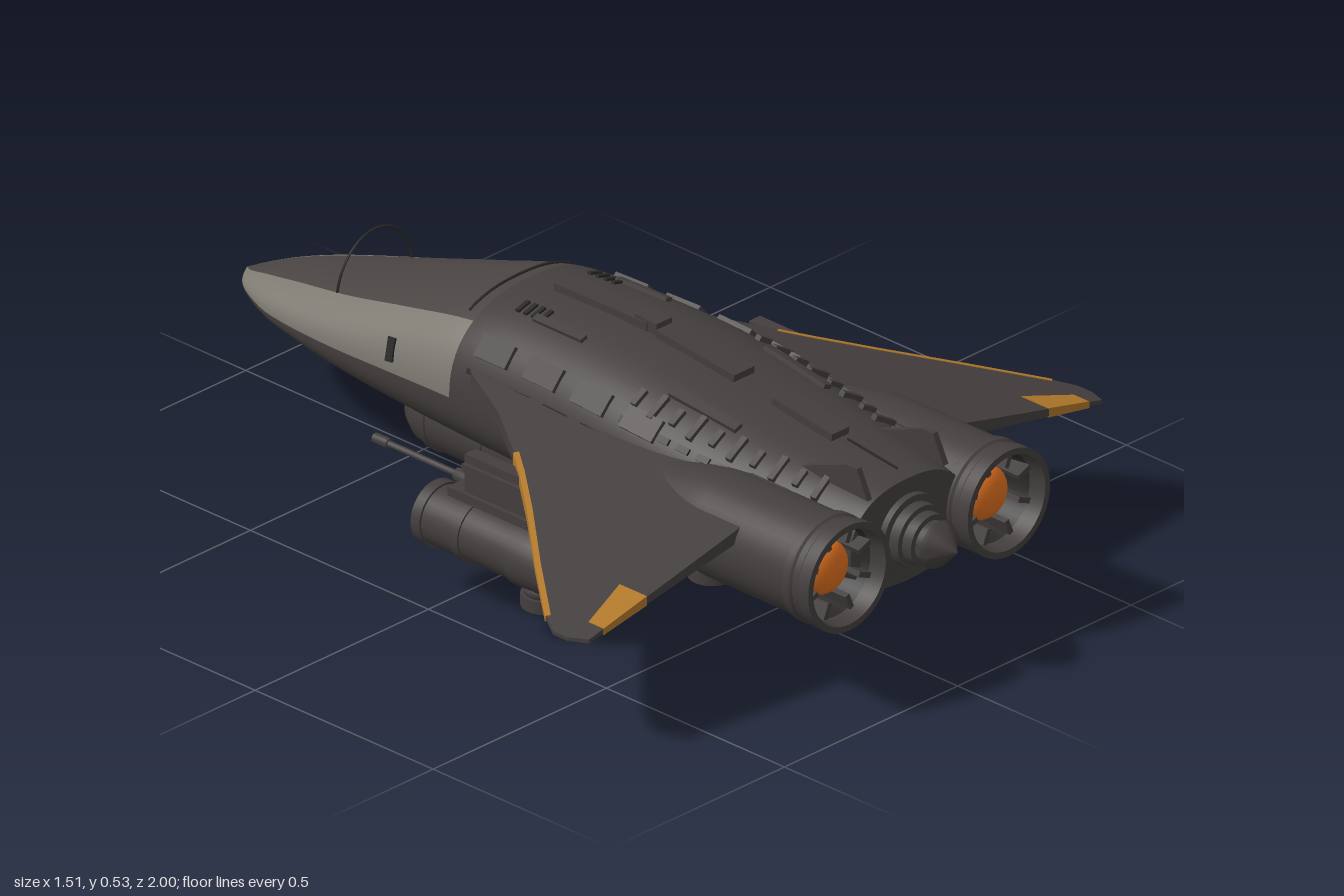
import * as THREE from 'three';
import { toCreasedNormals } from 'three/addons/utils/BufferGeometryUtils.js';

const mat = (name, color, side = THREE.FrontSide) => {
  const m = new THREE.MeshStandardMaterial({ color, side });
  m.name = name;
  return m;
};
const hull = mat('charcoal hull', 0x443f3e);
const canopy = mat('canopy brown', 0x4a4443);
const grey = mat('light grey', 0x7d7a72);
const dark = mat('dark trim', 0x2b2928);
const gold = mat('gold', 0xb0782a);
const orange = mat('engine orange', 0xe0701f);

function add(parent, name, geo, material, x = 0, y = 0, z = 0) {
  const m = new THREE.Mesh(geo, material);
  m.name = name;
  m.position.set(x, y, z);
  parent.add(m);
  return m;
}
const box = (w, h, d) => new THREE.BoxGeometry(w, h, d);
// solid of revolution along z, from [z, radius] pairs in rising z
const spin = (pts, seg = 32) => toCreasedNormals(
  new THREE.LatheGeometry(pts.map(([z, r]) => new THREE.Vector2(r, z)), seg).rotateX(Math.PI / 2), 0.6);
const disc = (r, h, seg = 24) => new THREE.CylinderGeometry(r, r, h, seg);

// Fuselage stations: z, half width, top, bottom, waist height, canopy share of the width
const ST = [
  [-0.995, 0.003, 0.237, 0.232, 0.235, 0.5], [-0.96, 0.052, 0.252, 0.222, 0.237, 0.5],
  [-0.9, 0.095, 0.277, 0.213, 0.242, 0.52], [-0.8, 0.14, 0.31, 0.2, 0.25, 0.54],
  [-0.6, 0.187, 0.37, 0.177, 0.272, 0.62], [-0.4, 0.213, 0.437, 0.163, 0.292, 0.67],
  [-0.2, 0.235, 0.498, 0.155, 0.31, 0.7], [0, 0.243, 0.51, 0.15, 0.31, 0.7],
  [0.2, 0.252, 0.505, 0.15, 0.31, 0.7], [0.4, 0.248, 0.483, 0.152, 0.31, 0.7],
  [0.6, 0.222, 0.453, 0.16, 0.305, 0.7], [0.86, 0.165, 0.42, 0.19, 0.3, 0.7]];
function station(z) {
  let i = 0;
  while (i < ST.length - 2 && z > ST[i + 1][0]) i++;
  const slope = (k, c) => {
    const a = ST[Math.max(k - 1, 0)], b = ST[Math.min(k + 1, ST.length - 1)];
    return (b[c] - a[c]) / (b[0] - a[0]);
  };
  const d = ST[i + 1][0] - ST[i][0], u = (z - ST[i][0]) / d, v = 1 - u;
  return [1, 2, 3, 4, 5].map(c => ST[i][c] * (1 + 2 * u) * v * v + ST[i + 1][c] * u * u * (3 - 2 * u)
    + d * u * v * (v * slope(i, c) - u * slope(i + 1, c)));
}
const E = 0.85;
function surf(z, t) {
  const [w, top, bot, mid] = station(z), c = Math.cos(t), s = Math.sin(t);
  return new THREE.Vector3(w * Math.sign(c) * Math.abs(c) ** E,
    mid + (s > 0 ? top - mid : mid - bot) * Math.sign(s) * Math.abs(s) ** E, z);
}

function fuselage() {
  const zs = [], pos = [], parts = [[], [], []], N = 56;
  for (let i = 0; i <= 24; i++) zs.push(-0.995 + 0.795 * (i / 24) ** 1.5);
  for (let i = 1; i <= 24; i++) zs.push(-0.2 + 1.06 * i / 24);
  zs.forEach((z, i) => {
    const ts = Math.acos(station(z)[4] ** (1 / E));
    for (let j = 0; j < N; j++) {
      let t;
      if (j < 8) t = ts * j / 8;
      else if (j < 24) t = ts + (Math.PI - 2 * ts) * (j - 8) / 16;
      else if (j < 32) t = Math.PI - ts * (32 - j) / 8;
      else t = Math.PI + Math.PI * (j - 32) / 24;
      pos.push(...surf(z, t).toArray());
      if (i === zs.length - 1) continue;
      const k = (j + 1) % N, a = i * N + j, b = i * N + k;
      const part = z > -0.201 || j >= 32 ? 0 : j >= 8 && j < 24 ? 1 : 2;
      parts[part].push(a, b, a + N, b, b + N, a + N);
    }
  });
  const g = new THREE.BufferGeometry();
  g.setAttribute('position', new THREE.Float32BufferAttribute(pos, 3));
  g.setIndex(parts.flat());
  let start = 0;
  parts.forEach((p, k) => { g.addGroup(start, p.length, k); start += p.length; });
  g.computeVertexNormals();
  return g;
}

// thin plate lying on the fuselage skin
function skinPlate(parent, name, z, t, w, h, l, material, lift = 0) {
  const p = surf(z, t), tz = surf(z + 0.01, t).sub(p).normalize();
  const n = surf(z, t + 0.02).sub(surf(z, t - 0.02)).cross(tz).normalize();
  const m = add(parent, name, box(w, h, l), material);
  m.quaternion.setFromRotationMatrix(new THREE.Matrix4().makeBasis(n.clone().cross(tz), n, tz));
  m.position.copy(p).addScaledVector(n, lift);
}

// plate following the drooped wing plane, outline in x and z
const wingY = x => 0.372 - 0.226 * (x - 0.24);
function wingPlate(pts, side, extra = 0) {
  const shape = new THREE.Shape(pts.map(([x, z]) => new THREE.Vector2(x * side, z)));
  const g = new THREE.ExtrudeGeometry(shape, { depth: 1, bevelEnabled: false }).rotateX(Math.PI / 2);
  const p = g.attributes.position;
  for (let i = 0; i < p.count; i++) {
    const x = Math.abs(p.getX(i));
    const thick = Math.max(0.008, 0.034 - 0.05 * (x - 0.24)) + extra;
    p.setY(i, wingY(x) + (p.getY(i) + 0.5) * thick);
  }
  g.computeVertexNormals();
  return g;
}

// small sensor ball with a lens looking down
function turret(parent, x, y, z) {
  const g = new THREE.Group();
  g.name = 'sensorTurret';
  g.position.set(x, y, z);
  parent.add(g);
  add(g, 'turretBody', new THREE.SphereGeometry(0.046, 24, 12).scale(1, 0.6, 1), hull, 0, 0.018, 0);
  add(g, 'turretCollar', disc(0.05, 0.028), hull, 0, -0.006, 0);
  add(g, 'turretLens', disc(0.038, 0.006), orange, 0, -0.022, 0);
}

export function createModel() {
  const root = new THREE.Group();
  root.name = 'fighter';
  add(root, 'fuselage', fuselage(), [hull, canopy, grey]);
  const rim = [...Array(48)].map((_, i) => surf(0.86, i / 24 * Math.PI));
  add(root, 'tailPlate', new THREE.ShapeGeometry(new THREE.Shape(rim.map(p => new THREE.Vector2(p.x, p.y)))), hull, 0, 0, 0.86);
  add(root, 'tailCone', spin([[0.84, 0.085], [0.875, 0.085], [0.875, 0.07], [0.9, 0.07], [0.9, 0.058], [0.925, 0.058],
    [0.925, 0.046], [0.94, 0.046], [0.945, 0.052], [0.955, 0.046], [1, 0]]), hull, 0, 0.3, 0);

  // canopy frame and hoop
  const arc = f => new THREE.TubeGeometry(new THREE.CatmullRomCurve3([...Array(17)].map((_, i) => f(i / 16))), 40, 0.003, 6);
  add(root, 'canopyFrame', arc(u => surf(-0.23, 0.95 + u * (Math.PI - 1.9)).add(new THREE.Vector3(0, 0.002, 0))), dark);
  add(root, 'canopyHoop', arc(u => new THREE.Vector3(0.11 * Math.cos(u * Math.PI), 0.325 + 0.125 * Math.sin(u * Math.PI), -0.637)), dark);

  // spine plates
  const top = Math.PI / 2;
  for (const [z, w, h, l] of [[0.02, 0.05, 0.03, 0.26], [0.29, 0.06, 0.03, 0.22], [0.145, 0.045, 0.05, 0.06], [0.585, 0.05, 0.034, 0.17]])
    skinPlate(root, 'spinePlate', z, top, w, h, l, hull);
  add(root, 'spineSeam', box(0.004, 0.004, 0.14), dark, 0, 0.44, 0.76).rotation.x = 0.12;

  for (const s of [1, -1]) {
    const at = a => top - s * a;
    // skin details: slats, hatches and vents
    for (let i = 0; i < 10; i++) {
      const z = 0.28 + i * 0.052;
      skinPlate(root, 'slat', z, at(0.72), i % 2 ? 0.06 : 0.04, 0.016, 0.014, hull, 0.002);
      skinPlate(root, 'sideVent', z, at(1.0), 0.014, 0.012, 0.03, dark);
    }
    for (let i = 0; i < 4; i++) {
      skinPlate(root, 'frontVent', -0.12 + i * 0.022, at(0.38), 0.035, 0.01, 0.01, dark);
      skinPlate(root, 'hatch', -0.1 + i * 0.14, at(0.95), 0.05, 0.012, 0.09, hull, 0.002);
      skinPlate(root, 'sidePanel', -0.12 + i * 0.11, at(1.25), 0.01, 0.008, 0.07, dark);
    }
    skinPlate(root, 'dorsalRail', 0.0, at(0.45), 0.018, 0.016, 0.14, hull);
    skinPlate(root, 'dorsalRail', 0.42, at(0.5), 0.022, 0.018, 0.18, hull);
    skinPlate(root, 'noseMark', -0.39, at(1.3), 0.05, 0.005, 0.022, dark, 0.001);
    const fin = new THREE.Shape([[0.66, 0.42], [0.86, 0.41], [0.83, 0.472], [0.8, 0.472]].map(([z, y]) => new THREE.Vector2(-z, y)));
    add(root, 'tailFin', new THREE.ExtrudeGeometry(fin, { depth: 0.014, bevelEnabled: false }).rotateY(Math.PI / 2), hull, s * 0.11 - 0.007, 0, 0);

    // engine with hollow nozzle
    const eng = new THREE.Group();
    eng.name = 'engine';
    eng.position.set(s * 0.23, 0.3, 0);
    root.add(eng);
    add(eng, 'nacelle', spin([[0.2, 0.01], [0.28, 0.052], [0.4, 0.085], [0.54, 0.11], [0.58, 0.113], [0.84, 0.113], [0.845, 0.119],
      [0.865, 0.119], [0.87, 0.115], [0.885, 0.115], [0.89, 0.119], [0.92, 0.119], [0.92, 0.105], [0.88, 0.1]], 40), hull);
    add(eng, 'nozzleLining', spin([[0.881, 0.1], [0.8, 0.09], [0.8, 0]], 40), dark);
    add(eng, 'burner', new THREE.SphereGeometry(0.058, 24, 12).scale(1, 1, 0.6), orange, 0, 0, 0.85);
    for (let i = 0; i < 8; i++) {
      const a = (i + 0.5) * Math.PI / 4;
      add(eng, 'nozzleVane', box(0.035, 0.012, 0.07), hull, Math.cos(a) * 0.082, Math.sin(a) * 0.082, 0.855).rotation.z = a;
    }

    // wing with gold leading edge and tip patch
    const edge = [[0.3, 0], [0.38, 0.125], [0.42, 0.18], [0.5, 0.28], [0.62, 0.42], [0.73, 0.555]];
    add(root, 'wing', wingPlate([[0.18, -0.22], [0.24, -0.13], ...edge, [0.757, 0.6], [0.757, 0.64], [0.74, 0.685], [0.34, 0.7], [0.18, 0.7]], s), hull);
    const lead = edge.slice(1);
    add(root, 'leadingEdge', wingPlate([...lead.map(([x, z]) => [x + 0.002, z - 0.002]),
      ...lead.map(([x, z]) => [x - 0.007, z + 0.006]).reverse()], s, 0.003), gold);
    add(root, 'tipPatch', wingPlate([[0.58, 0.615], [0.7, 0.645], [0.7, 0.688], [0.58, 0.692]], s, 0.004), gold);

    // rocket pod on its pylon
    const pod = new THREE.Group();
    pod.name = 'rocketPod';
    pod.position.set(s * 0.41, 0.165, 0);
    root.add(pod);
    add(pod, 'podBody', spin([[-0.07, 0], [-0.07, 0.07], [-0.045, 0.07], [-0.045, 0.065], [0.04, 0.065], [0.04, 0.069], [0.06, 0.069],
      [0.06, 0.065], [0.19, 0.065], [0.19, 0.07], [0.215, 0.07], [0.29, 0.069], [0.325, 0.058], [0.348, 0.035], [0.357, 0]]), hull);
    add(pod, 'podFace', disc(0.064, 0.006).rotateX(top), gold, 0, 0, -0.071);
    for (let i = 0; i < 8; i++) {
      const a = i * Math.PI * 2 / 7, r = i < 7 ? 0.042 : 0;
      add(pod, 'rocketTube', disc(0.014, 0.006, 14).rotateX(top), dark, Math.cos(a) * r, Math.sin(a) * r, -0.073);
    }
    add(pod, 'pylon', box(0.032, 0.12, 0.22), hull, 0, 0.11, 0.14);
    add(pod, 'pylonFoot', box(0.05, 0.02, 0.26), hull, 0, 0.075, 0.12);
    add(pod, 'pylonHead', box(0.05, 0.016, 0.24), hull, 0, 0.143, 0.15);
    turret(pod, 0, -0.08, 0.24);

    // gun beside the pod
    add(pod, 'gunBarrel', spin([[-0.32, 0], [-0.32, 0.011], [-0.28, 0.011], [-0.28, 0.007], [-0.09, 0.007], [-0.09, 0.014],
      [-0.02, 0.018], [0.14, 0.018], [0.14, 0]], 14), hull, -s * 0.085, 0.045, 0);
    add(pod, 'gunMount', box(0.05, 0.02, 0.08), hull, -s * 0.06, 0.045, 0.08);
  }

  // belly tank with bands
  add(root, 'bellyTank', spin([[-0.51, 0], [-0.508, 0.035], [-0.49, 0.066], [-0.46, 0.084], [-0.43, 0.089], [0.36, 0.089],
    [0.385, 0.08], [0.39, 0.066], [0.42, 0.062], [0.437, 0.045], [0.44, 0]]), hull, 0, 0.122, 0);
  for (const z of [-0.42, -0.26, -0.1, 0.06, 0.22, 0.35])
    add(root, 'tankBand', spin([[z - 0.008, 0.086], [z - 0.008, 0.092], [z + 0.008, 0.092], [z + 0.008, 0.086]]), hull, 0, 0.122, 0);
  turret(root, 0, 0.025, 0.31);
  return root;
}
